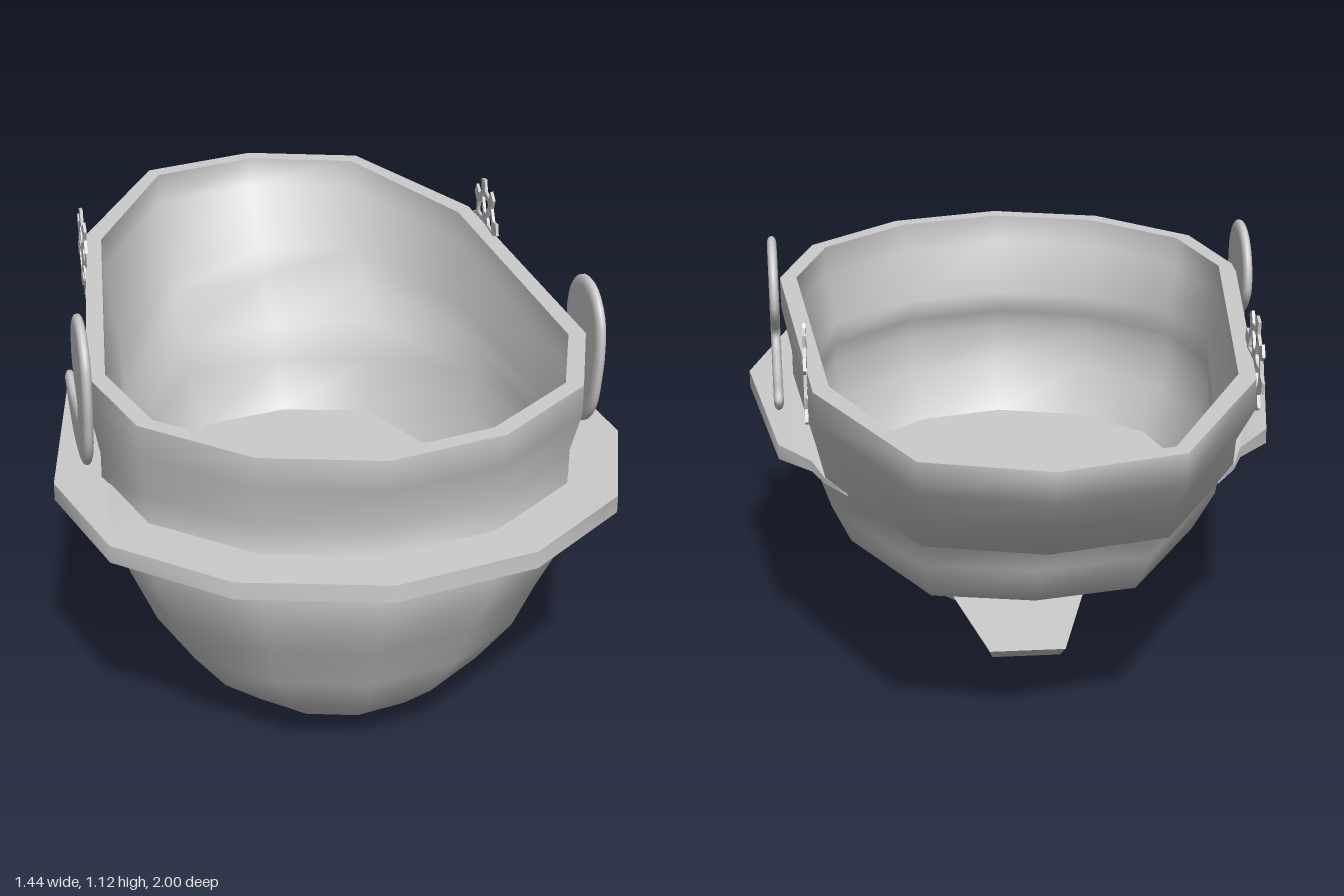
import * as THREE from 'three';
import { ConvexGeometry } from 'three/addons/geometries/ConvexGeometry.js';
import { mergeVertices, toCreasedNormals } from 'three/addons/utils/BufferGeometryUtils.js';

const CZ = 0.36; // centre of every hull ring
const SIDES = 12;
const material = new THREE.MeshStandardMaterial({ color: 0xcccccc });

// Twelve-sided egg ring; longer backs carry their shoulders further back
function ring([y, w, front, back]) {
  const f = front - CZ, b = CZ - back;
  const shoulder = Math.max(0.5, 0.393 + 0.167 * b);
  const half = [[0, f], [0.47, 0.87 * f], [0.86, 0.5 * f], [1, 0], [0.86, -shoulder * b], [0.49, -0.94 * b], [0, -b]];
  const mirrored = half.slice(1, 6).reverse().map(([x, z]) => [-x, z]);
  return [...half, ...mirrored].map(([x, z]) => [x * w, y, CZ + z]);
}

// Smooth skin through rings listed from top to bottom (reverse for an inner skin)
function loft(rings) {
  const index = [];
  for (let i = 0; i < rings.length - 1; i++) {
    for (let j = 0; j < SIDES; j++) {
      const a = i * SIDES + j, b = i * SIDES + (j + 1) % SIDES;
      index.push(a, a + SIDES, b, b, a + SIDES, b + SIDES);
    }
  }
  const geo = new THREE.BufferGeometry();
  geo.setAttribute('position', new THREE.Float32BufferAttribute(rings.flatMap(ring).flat(), 3));
  geo.setIndex(index);
  geo.computeVertexNormals();
  return geo;
}

function part(group, name, geo) {
  const mesh = new THREE.Mesh(geo, material);
  mesh.name = name;
  group.add(mesh);
  return mesh;
}

// Flat profile drawn in (z, y), given thickness along x
function sideProfile(shape, depth, bevel) {
  const geo = new THREE.ExtrudeGeometry(shape, {
    depth, bevelEnabled: bevel > 0, bevelThickness: bevel,
    bevelSize: bevel * 2, bevelOffset: -bevel * 2, bevelSegments: 4,
  });
  geo.translate(0, 0, -depth / 2);
  return geo.rotateY(-Math.PI / 2);
}

// Share vertices so the whole surface shades as one rounded form
function smooth(geo) {
  geo.deleteAttribute('normal');
  geo.deleteAttribute('uv');
  const merged = mergeVertices(geo, 1e-4);
  merged.computeVertexNormals();
  return merged;
}

// Toothed wheel with open sectors between spokes
function gearShape(teeth, spokes) {
  const polar = (r, a) => new THREE.Vector2(r * Math.cos(a), r * Math.sin(a));
  const outline = [];
  for (let i = 0; i < teeth; i++) {
    const a = (i + 0.3) / teeth * Math.PI * 2;
    outline.push(polar(0.092, a - 0.2), polar(0.124, a - 0.13), polar(0.124, a + 0.13), polar(0.092, a + 0.2));
  }
  const shape = new THREE.Shape(outline);
  for (let i = 0; i < spokes; i++) {
    const a = i / spokes * Math.PI * 2, step = Math.PI * 2 / spokes;
    const pts = [];
    for (let k = 0; k <= 4; k++) pts.push(polar(0.075, a + 0.09 + (step - 0.18) * k / 4));
    for (let k = 2; k >= 0; k--) pts.push(polar(0.032, a + 0.2 + (step - 0.4) * k / 2));
    shape.holes.push(new THREE.Path(pts));
  }
  return shape;
}

// Flat ledge whose ends thin out to a point along the hull sides
function ledgeGeometry() {
  const outer = [[0, 0.998], [0.36, 0.915], [0.62, 0.7], [0.72, 0.38], [0.635, -0.14], [0.55, -0.24], [0.518, -0.33], [0.46, -0.43]];
  const inner = [[0.495, -0.33], [0.525, -0.1], [0.575, 0.36], [0.49, 0.6], [0.27, 0.79], [0, 0.85]];
  const mirror = (pts) => pts.filter(([x]) => x > 0).reverse().map(([x, z]) => [-x, z]);
  const loop = [...outer, ...inner, ...mirror(inner), ...mirror(outer)];
  const shape = new THREE.Shape(loop.map(([x, z]) => new THREE.Vector2(x, -z)));
  const geo = new THREE.ExtrudeGeometry(shape, { depth: 1, bevelEnabled: false }).rotateX(-Math.PI / 2);
  const pos = geo.attributes.position;
  for (let i = 0; i < pos.count; i++) {
    const t = THREE.MathUtils.clamp((-0.1 - pos.getZ(i)) / 0.33, 0, 1);
    const bottom = 0.663 + 0.02 * t, top = 0.709 - 0.023 * t;
    pos.setY(i, pos.getY(i) > 0.5 ? top : bottom);
  }
  return toCreasedNormals(geo, 0.9);
}

export function createModel() {
  const model = new THREE.Group();
  model.name = 'hullBasin';

  // Hull rings: height, half-width, front z, back z
  const outer = [
    [0.985, 0.625, 0.91, -1], [0.905, 0.625, 0.91, -1], [0.77, 0.6, 0.84, -0.845],
    [0.69, 0.6, 0.88, -0.81], [0.635, 0.605, 0.895, -0.58], [0.53, 0.585, 0.895, -0.57],
    [0.4, 0.53, 0.81, -0.475], [0.275, 0.475, 0.76, -0.04], [0.16, 0.38, 0.69, 0.04],
    [0.075, 0.27, 0.6, 0.13], [0.02, 0.14, 0.48, 0.24], [0, 0.001, CZ + 0.001, CZ - 0.001],
  ];
  const floor = [0.41, 0.475, 0.765, -0.455];
  const inner = [
    [0.985, 0.58, 0.865, -0.957], [0.905, 0.58, 0.865, -0.95], [0.77, 0.555, 0.795, -0.795],
    [0.7, 0.555, 0.835, -0.74], [0.645, 0.56, 0.85, -0.55], [0.53, 0.54, 0.85, -0.54], floor,
  ];
  part(model, 'hullOuter', loft(outer));
  part(model, 'hullInner', loft([...inner].reverse()));
  part(model, 'hullRim', loft([inner[0], outer[0]]));
  part(model, 'hullFloor', loft([[floor[0], 0.001, CZ + 0.001, CZ - 0.001], floor]));

  part(model, 'frontLedge', ledgeGeometry());

  // Wedge fin under the back
  const fin = [];
  for (const s of [-1, 1]) {
    fin.push(new THREE.Vector3(s * 0.19, 0.158, 0.08), new THREE.Vector3(s * 0.1, 0.143, -0.26),
      new THREE.Vector3(s * 0.17, 0.08, 0.18), new THREE.Vector3(s * 0.09, 0.1, -0.21));
  }
  part(model, 'rearFin', new ConvexGeometry(fin));

  // Curled side ornaments, outline in (z, y)
  const curl = [[0.45, 0.98], [0.435, 1.06], [0.37, 1.115], [0.28, 1.115], [0.21, 1.06], [0.19, 0.97],
    [0.23, 0.91], [0.28, 0.872], [0.27, 0.84], [0.19, 0.825], [0.09, 0.81], [-0.02, 0.815], [-0.03, 0.785],
    [0.05, 0.74], [0.14, 0.71], [0.25, 0.71], [0.34, 0.73], [0.41, 0.795], [0.44, 0.89]];
  const curlPath = new THREE.CatmullRomCurve3(curl.map(([z, y]) => new THREE.Vector3(z, y, 0)), true);
  const curlShape = new THREE.Shape(curlPath.getPoints(57).slice(0, -1).map((p) => new THREE.Vector2(p.x, p.y)));
  const curlGeo = smooth(sideProfile(curlShape, 0.004, 0.011));
  const gearGeo = sideProfile(gearShape(8, 6), 0.008, 0);

  for (const [side, s, place, turn] of [['left', 1, [0.632, -0.01, -0.012], 0.03], ['right', -1, [-0.636, 0, 0], 0.01]]) {
    const ornament = part(model, side + 'Curl', curlGeo);
    ornament.position.set(...place);
    ornament.rotation.y = turn;
    part(model, side + 'Gear', gearGeo).position.set(s * 0.555, 0.985, -0.36);
  }
  return model;
}
